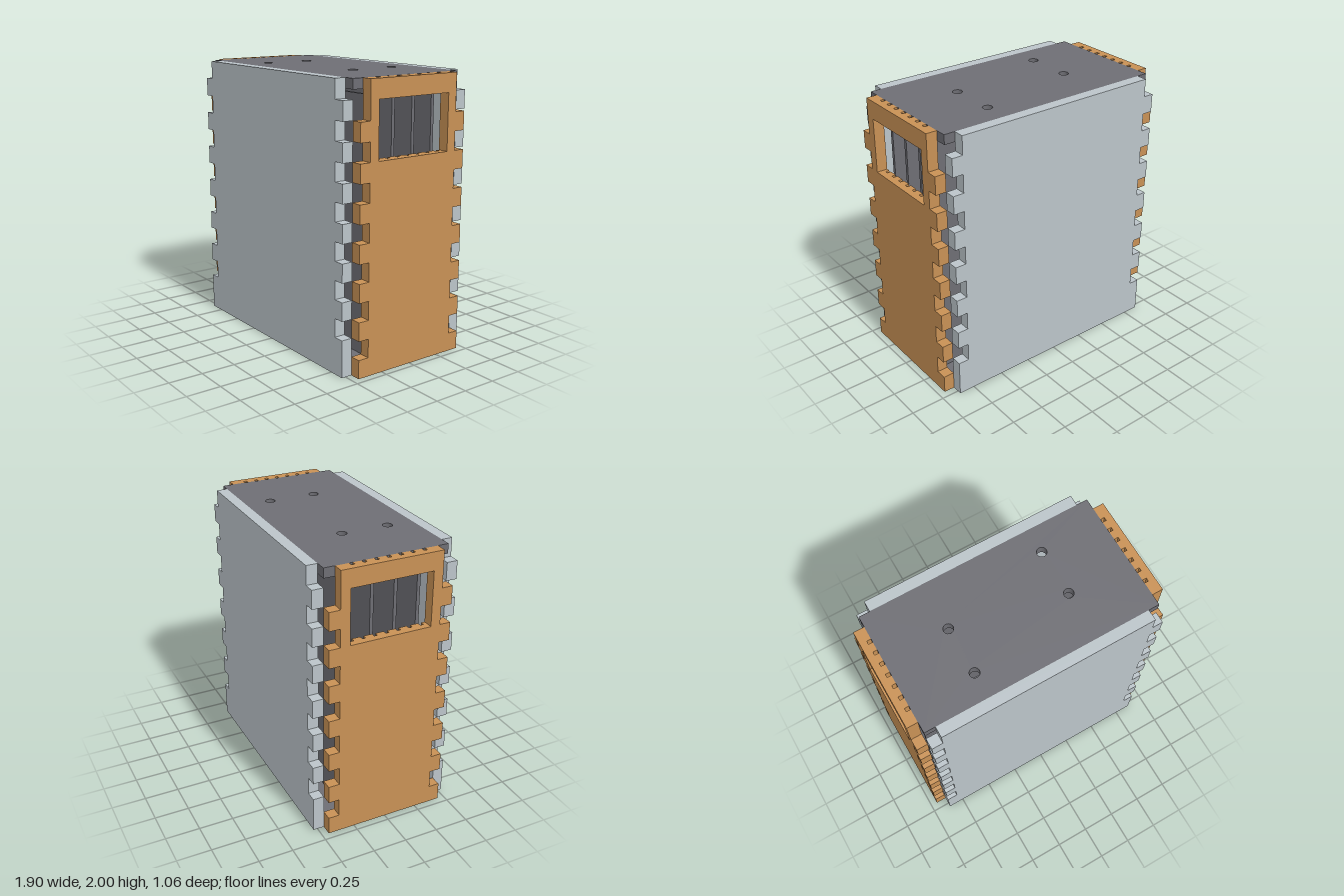
import * as THREE from 'three';

const STEP = 2 / 15;        // height of one finger-joint tooth
const WALL = 0.08, PLATE = 0.07;
const GROOVE = 0.025;       // width of a guide groove / divider thickness
const PITCH = 0.087;        // groove spacing
const WIN = { half: 0.3, bottom: 11 * STEP, top: 14 * STEP };

const material = (name, color) => {
  const m = new THREE.MeshStandardMaterial({ color });
  m.name = name;
  return m;
};

// Right-hand toothed edge, bottom to top
function toothedEdge(inner, outer, isTooth) {
  const pts = [];
  for (let i = 0; i < 15; i++) {
    const w = isTooth(i) ? outer : inner;
    pts.push(new THREE.Vector2(w, i * STEP), new THREE.Vector2(w, (i + 1) * STEP));
  }
  return pts.filter((p, i) => {   // drop repeated and collinear points
    const a = pts[i - 1], b = pts[i + 1];
    return !a || !b || !(a.x === p.x && b.x === p.x);
  });
}

const mirrored = (pts) => pts.map((p) => new THREE.Vector2(-p.x, p.y)).reverse();

const rect = (x0, x1, y0, y1) => [
  new THREE.Vector2(x0, y0), new THREE.Vector2(x1, y0),
  new THREE.Vector2(x1, y1), new THREE.Vector2(x0, y1),
];

const extrude = (shapes, depth) =>
  new THREE.ExtrudeGeometry(shapes, { depth, bevelEnabled: false, curveSegments: 16 });

export function createModel() {
  const model = new THREE.Group();
  model.name = 'slottedBox';
  const orange = material('orange', 0xc89155);
  const lightGrey = material('lightGrey', 0xbbc4c9);
  const darkGrey = material('darkGrey', 0x6e6e74);

  const add = (parent, name, geometry, mat, x = 0, y = 0, z = 0) => {
    const mesh = new THREE.Mesh(geometry, mat);
    mesh.name = name;
    mesh.position.set(x, y, z);
    parent.add(mesh);
    return mesh;
  };

  // Front and back walls
  const wallEdge = toothedEdge(0.79, 0.87, (i) => i === 0 || i % 2 === 1);
  const wallGeo = extrude(new THREE.Shape([...wallEdge, ...mirrored(wallEdge)]), WALL);
  wallGeo.translate(0, 0, 0.45);
  add(model, 'frontWall', wallGeo, lightGrey);
  add(model, 'backWall', wallGeo, lightGrey).rotation.y = Math.PI;

  // Side walls: a windowed outer layer, and an inner layer split by grooves
  const sideEdge = toothedEdge(0.37, 0.45, (i) => i % 2 === 0 && i < 14);
  const outerShape = new THREE.Shape([...sideEdge, ...mirrored(sideEdge)]);
  outerShape.holes.push(new THREE.Path(rect(-WIN.half, WIN.half, WIN.bottom, WIN.top)));

  const inner = 3 * PITCH + GROOVE / 2;
  const border = [
    ...sideEdge,
    new THREE.Vector2(inner, 2), new THREE.Vector2(inner, WIN.top),
    new THREE.Vector2(WIN.half, WIN.top), new THREE.Vector2(WIN.half, WIN.bottom),
    new THREE.Vector2(inner, WIN.bottom), new THREE.Vector2(inner, 0),
  ];
  const layers = [new THREE.Shape(border), new THREE.Shape(mirrored(border))];
  for (let i = -3; i < 3; i++) {
    const x0 = i * PITCH + GROOVE / 2, x1 = (i + 1) * PITCH - GROOVE / 2;
    layers.push(new THREE.Shape(rect(x0, x1, 0, WIN.bottom)));
    layers.push(new THREE.Shape(rect(x0, x1, WIN.top, 2)));
  }
  const outerGeo = extrude(outerShape, 0.05).translate(0, 0, 0.9);
  const grooveGeo = extrude(layers, 0.03).translate(0, 0, 0.87);
  for (const side of [1, -1]) {
    const wall = new THREE.Group();
    wall.name = side > 0 ? 'leftWall' : 'rightWall';
    add(wall, 'windowPanel', outerGeo, orange);
    add(wall, 'groovedLining', grooveGeo, orange);
    wall.rotation.y = side * Math.PI / 2;
    model.add(wall);
  }

  // Lid with four round holes, one above each divider
  const lid = new THREE.Shape(rect(-0.87, 0.87, -0.45, 0.45));
  for (const [x, k] of [[-0.405, 1], [-0.405, -3], [0.4, 3], [0.4, -1]]) {
    const hole = new THREE.Path();
    hole.absarc(x, k * PITCH, 0.035, 0, Math.PI * 2, true);
    lid.holes.push(hole);
  }
  add(model, 'lid', extrude(lid, PLATE).rotateX(-Math.PI / 2), darkGrey, 0, 2 - PLATE, 0);

  // Floor
  add(model, 'floor', new THREE.BoxGeometry(1.74, PLATE, 0.9), darkGrey, 0, PLATE / 2, 0);

  // Upright divider plates
  const dividerGeo = new THREE.BoxGeometry(1.67, 1.88 - PLATE, GROOVE);
  for (const k of [-3, -1, 1, 3]) {
    add(model, 'divider', dividerGeo, darkGrey, 0, (1.88 + PLATE) / 2, k * PITCH);
  }

  return model;
}
